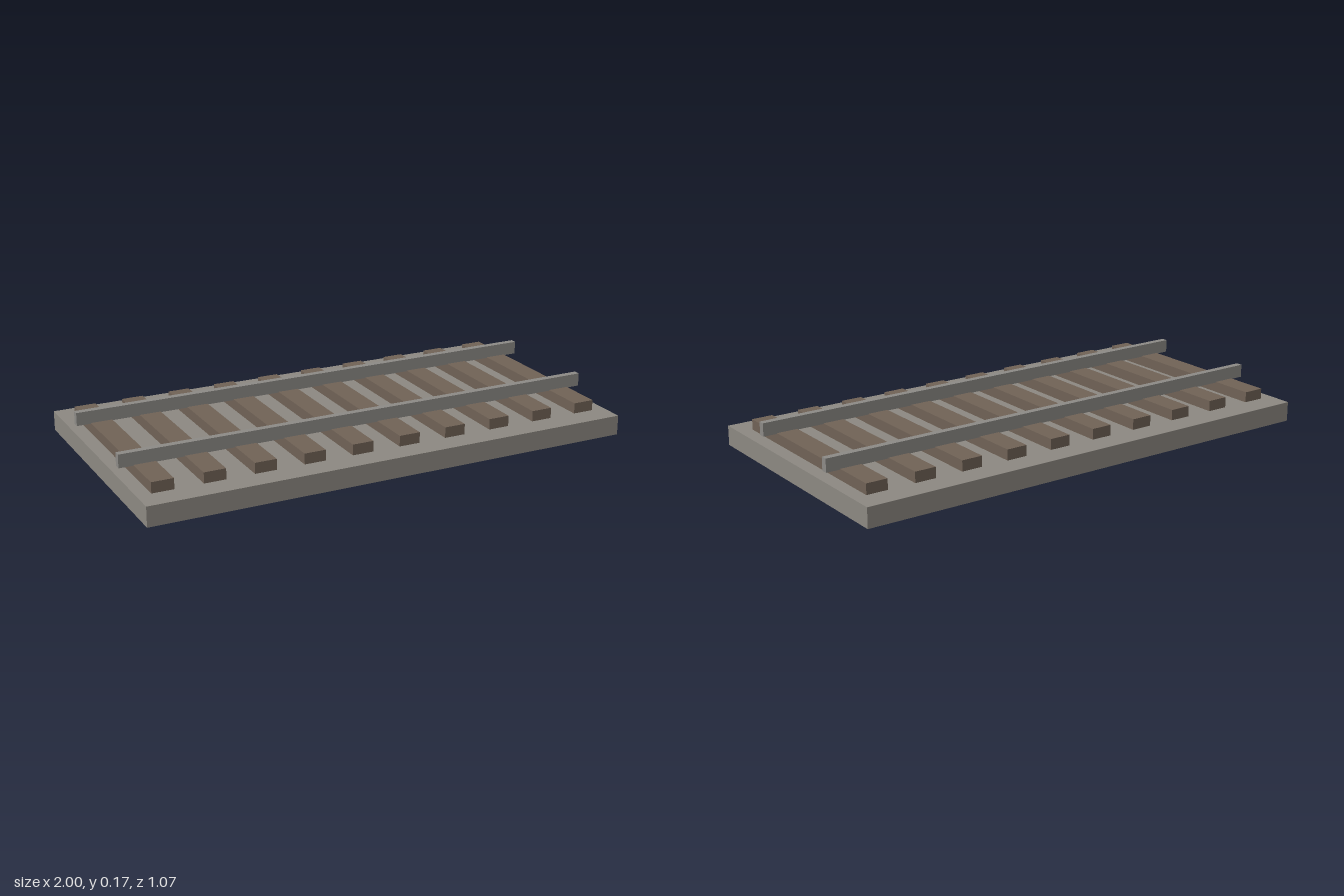
import * as THREE from 'three';

export function createModel() {
  const model = new THREE.Group();
  model.name = 'trackSection';

  const material = (name, color) => {
    const m = new THREE.MeshStandardMaterial({ color });
    m.name = name;
    return m;
  };
  const gravel = material('gravel grey', 0x8c8881);
  const wood = material('sleeper brown', 0x706256);
  const steel = material('rail grey', 0x8c8a86);

  // Box resting on a given height
  const addBox = (name, mat, [w, h, d], x, bottom, z) => {
    const mesh = new THREE.Mesh(new THREE.BoxGeometry(w, h, d), mat);
    mesh.name = name;
    mesh.position.set(x, bottom + h / 2, z);
    model.add(mesh);
  };

  // Ballast slab
  addBox('ballastBed', gravel, [2, 0.08, 1.067], 0, 0, 0);

  // Ten evenly spaced sleepers
  for (let i = 0; i < 10; i++) {
    addBox(`sleeper${i + 1}`, wood, [0.087, 0.043, 0.867], -0.9 + 0.2 * i, 0.08, 0);
  }

  // Pair of rails
  addBox('frontRail', steel, [2, 0.053, 0.027], 0, 0.12, 0.24);
  addBox('backRail', steel, [2, 0.053, 0.027], 0, 0.12, -0.24);

  return model;
}
